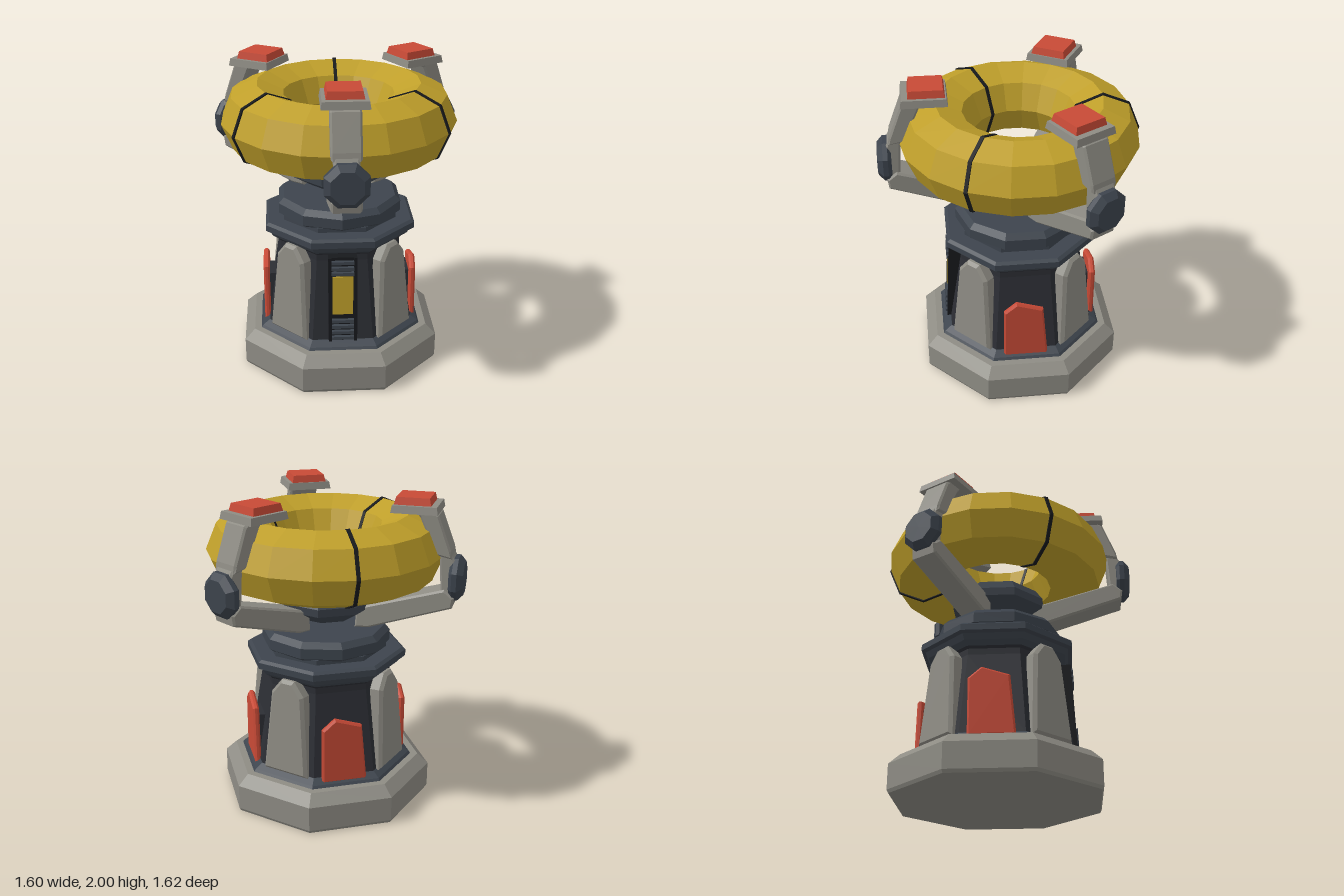
import * as THREE from 'three';

const material = (color) => new THREE.MeshStandardMaterial({ color, flatShading: true, roughness: 0.8, side: THREE.DoubleSide });
const GREY = material(0x8e8c84);
const DARK = material(0x2c2e34);
const SLATE = material(0x3d444d);
const BLACK = material(0x17191c);
const RED = material(0xc84a36);
const YELLOW = material(0xbf9f2a);

function add(parent, name, geometry, mat, x = 0, y = 0, z = 0) {
  const mesh = new THREE.Mesh(geometry, mat);
  mesh.name = name;
  mesh.position.set(x, y, z);
  parent.add(mesh);
  return mesh;
}

function subgroup(parent, name, angle = 0) {
  const g = new THREE.Group();
  g.name = name;
  g.rotation.y = angle;
  parent.add(g);
  return g;
}

// Faceted turned form with a flat side facing the front; radii are measured to the flats
function octagonal(profile) {
  const k = 1 / Math.cos(Math.PI / 8);
  return new THREE.LatheGeometry(profile.map(([r, y]) => new THREE.Vector2(r * k, y)), 8, Math.PI / 8);
}

// Bevelled plate from an outline in x and y, centred in depth
function plate(outline, depth, bevel = 0.012) {
  const shape = new THREE.Shape(outline.map(([x, y]) => new THREE.Vector2(x, y)));
  const geometry = new THREE.ExtrudeGeometry(shape, {
    depth: depth - 2 * bevel, bevelEnabled: true, bevelSize: bevel,
    bevelThickness: bevel, bevelOffset: -bevel, bevelSegments: 1,
  });
  return geometry.translate(0, 0, bevel - depth / 2);
}

// Plate whose outline is given as distance from the axis and height
const radialPlate = (outline, width) => plate(outline, width).rotateY(-Math.PI / 2);

// Square block with a bevelled upper edge
function block(size, height, top) {
  return new THREE.CylinderGeometry(top * Math.SQRT1_2, size * Math.SQRT1_2, height, 4, 1, false, Math.PI / 4);
}

function buildPedestal(model) {
  const pedestal = subgroup(model, 'pedestal');
  add(pedestal, 'foot', octagonal([[0, 0], [0.625, 0], [0.635, 0.02], [0.635, 0.18], [0.57, 0.245], [0, 0.245]]), GREY);
  add(pedestal, 'footStep', octagonal([[0.53, 0.24], [0.515, 0.26], [0.47, 0.29], [0, 0.29]]), SLATE);
  add(pedestal, 'column', octagonal([[0.47, 0.28], [0.385, 0.82], [0.385, 0.86], [0.43, 0.91]]), DARK);
  add(pedestal, 'collar', octagonal([[0.38, 0.86], [0.43, 0.9], [0.45, 0.935], [0.475, 0.945], [0.475, 0.985],
    [0.455, 1.0], [0.36, 1.0], [0.36, 1.03], [0, 1.03]]), SLATE);

  // Ten-sided turntable
  const disc = [[0, 1.02], [0.38, 1.02], [0.41, 1.04], [0.41, 1.105], [0.375, 1.14], [0, 1.14]];
  add(pedestal, 'turntable', new THREE.LatheGeometry(disc.map(([r, y]) => new THREE.Vector2(r, y)), 10), SLATE);

  // Leaning buttresses on the diagonal faces
  const buttress = [[-0.16, 0], [0.16, 0], [0.115, 0.53], [0.045, 0.62], [-0.045, 0.62], [-0.115, 0.53]];
  for (let i = 0; i < 4; i++) {
    const side = subgroup(pedestal, 'buttressSide', Math.PI / 4 + i * Math.PI / 2);
    add(side, 'buttress', plate(buttress, 0.1, 0.02), GREY, 0, 0.28, 0.455).rotation.x = -0.06;
  }

  // Armour panels on the two sides and the back
  const armour = [[-0.145, 0.26], [0.14, 0.26], [0.105, 0.635], [-0.065, 0.69], [-0.145, 0.62]];
  for (let i = 1; i < 4; i++) {
    const side = subgroup(pedestal, 'armourSide', i * Math.PI / 2);
    add(side, 'armourPanel', plate(armour, 0.04), RED, 0, 0, 0.483);
    add(side, 'armourMount', new THREE.BoxGeometry(0.18, 0.3, 0.1), DARK, 0, 0.43, 0.42);
  }

  // Front display with vents above and below
  const display = subgroup(pedestal, 'display');
  display.position.set(0, 0.58, 0.455);
  display.rotation.x = -0.05;
  add(display, 'displayBack', new THREE.BoxGeometry(0.18, 0.58, 0.1), BLACK, 0, 0, -0.04);
  add(display, 'displayWindow', new THREE.BoxGeometry(0.13, 0.26, 0.02), YELLOW, 0, 0.03, 0.01);
  for (const s of [-1, 1]) {
    add(display, 'displayRail', new THREE.BoxGeometry(0.02, 0.58, 0.025), BLACK, s * 0.081, 0, 0.012);
  }
  for (const y of [0.26, 0.22, 0.185, -0.145, -0.185, -0.225, -0.265]) {
    add(display, 'ventSlat', new THREE.BoxGeometry(0.14, 0.02, 0.035), SLATE, 0, y, 0.018);
  }
}

function buildHub(model) {
  const hub = subgroup(model, 'hub');
  add(hub, 'hubBowl', octagonal([[0, 1.2], [0.17, 1.2], [0.29, 1.28], [0.295, 1.33], [0.25, 1.4], [0.19, 1.41]]), SLATE);
  add(hub, 'hubWell', octagonal([[0.19, 1.41], [0.17, 1.37], [0, 1.37]]), DARK);
  add(hub, 'hubCap', new THREE.CylinderGeometry(0.085, 0.12, 0.05, 8), GREY, 0, 1.395, 0);
}

function buildRing(model) {
  const ring = subgroup(model, 'ring');
  ring.position.y = 1.64;
  add(ring, 'ringBody', new THREE.TorusGeometry(0.51, 0.23, 8, 18).rotateZ(Math.PI / 2).rotateX(Math.PI / 2), YELLOW);
  // Thin seams divide the ring into three
  for (let i = 0; i < 3; i++) {
    const third = subgroup(ring, 'seamThird', i * Math.PI * 2 / 3);
    add(third, 'ringSeam', new THREE.CylinderGeometry(0.237, 0.237, 0.022, 8).rotateZ(Math.PI / 2), BLACK, 0, 0, -0.511);
  }
}

function buildArm(model, angle) {
  const arm = subgroup(model, 'arm', angle);
  const lower = [[0.21, 1.16], [0.3, 1.165], [0.81, 1.335], [0.82, 1.4], [0.76, 1.45], [0.22, 1.29]];
  const joint = [[0.74, 1.37], [0.81, 1.37], [0.84, 1.45], [0.83, 1.6], [0.79, 1.67], [0.72, 1.67]];
  const upper = [[0.7, 1.66], [0.8, 1.64], [0.79, 1.69], [0.71, 1.9], [0.68, 1.92], [0.57, 1.92], [0.6, 1.88]];
  add(arm, 'lowerArm', radialPlate(lower, 0.18), GREY);
  add(arm, 'elbow', radialPlate(joint, 0.15), GREY);
  add(arm, 'upperArm', radialPlate(upper, 0.18), GREY);
  // Eight-sided pivot cap on the elbow
  add(arm, 'pivotCap', octagonal([[0, 0], [0.11, 0], [0.13, 0.02], [0.13, 0.05], [0.095, 0.085], [0, 0.085]])
    .rotateX(Math.PI / 2), SLATE, 0, 1.51, 0.785);
  // Head plate with a coloured pad
  add(arm, 'headPlate', block(0.28, 0.045, 0.265), GREY, 0, 1.933, 0.57);
  add(arm, 'headPad', block(0.22, 0.045, 0.2), RED, 0, 1.9775, 0.555);
}

export function createModel() {
  const model = new THREE.Group();
  model.name = 'ringPedestal';
  const body = subgroup(model, 'body');
  body.position.z = -0.063;
  buildPedestal(body);
  buildHub(body);
  buildRing(body);
  for (let i = 0; i < 3; i++) buildArm(body, i * Math.PI * 2 / 3);
  return model;
}
